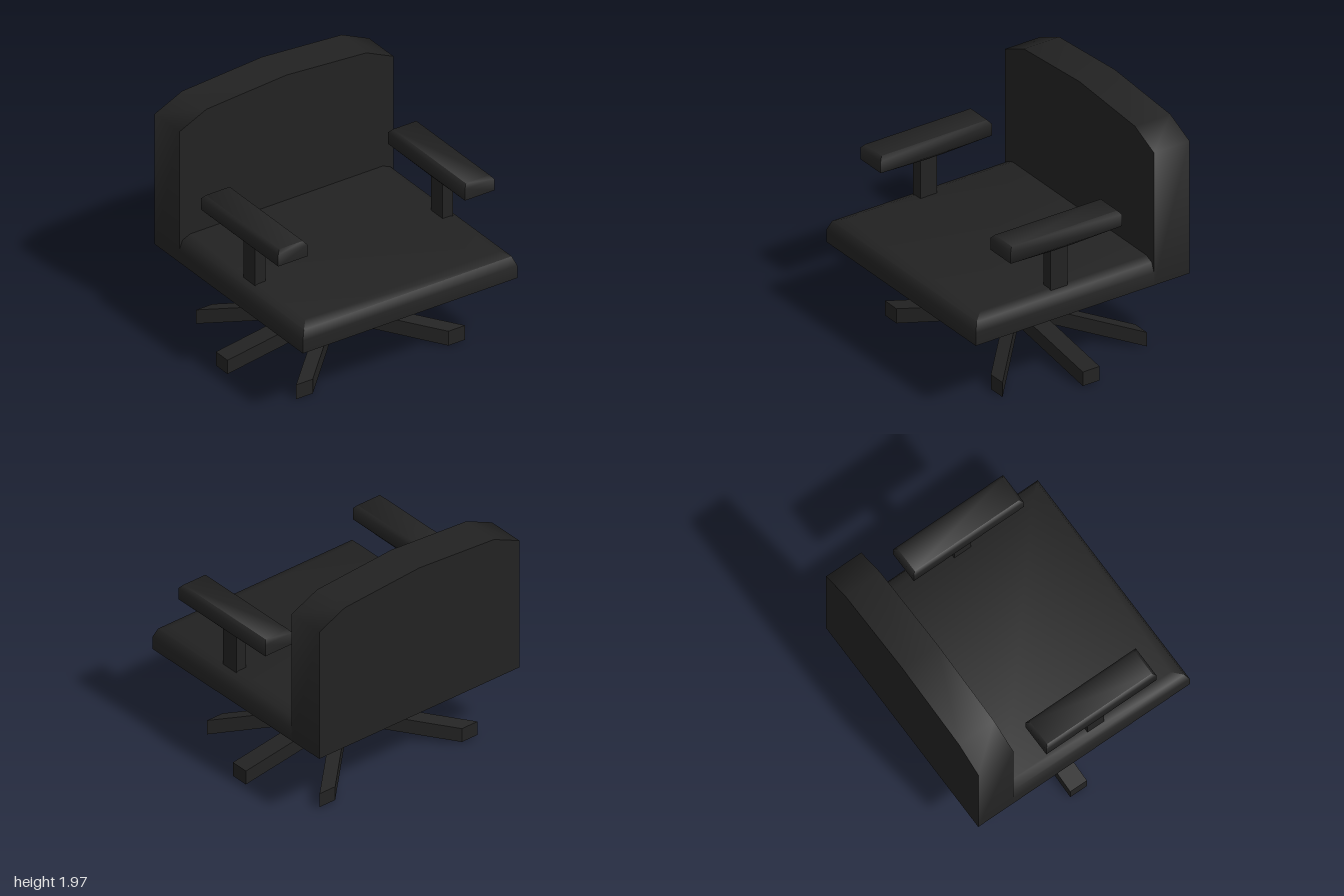
import * as THREE from 'three';
import { toCreasedNormals } from 'three/addons/utils/BufferGeometryUtils.js';

// Skin between four-cornered cross-sections, capped at both ends, facing outward
function loft(rings, crease) {
  const pts = rings.flat().map((p) => new THREE.Vector3(...p));
  const n = rings.length;
  const tris = [];
  const quad = (a, b, c, d) => tris.push([a, b, c], [a, c, d]);
  for (let r = 0; r < n - 1; r++) {
    for (let i = 0; i < 4; i++) {
      const j = (i + 1) % 4, a = r * 4, b = a + 4;
      quad(a + i, a + j, b + j, b + i);
    }
  }
  quad(3, 2, 1, 0);
  const e = (n - 1) * 4;
  quad(e, e + 1, e + 2, e + 3);
  let volume = 0;
  for (const [a, b, c] of tris) volume += pts[a].dot(pts[b].clone().cross(pts[c]));
  if (volume < 0) tris.forEach((t) => t.reverse());
  const geo = new THREE.BufferGeometry().setFromPoints(pts);
  geo.setIndex(tris.flat());
  return toCreasedNormals(geo, crease);
}

// Horizontal rectangle at height y
const slab = (x0, x1, z0, z1, y) => [[x0, y, z0], [x1, y, z0], [x1, y, z1], [x0, y, z1]];
// Upright rectangle facing z or facing x
const faceZ = (x0, x1, y0, y1, z) => [[x0, y0, z], [x1, y0, z], [x1, y1, z], [x0, y1, z]];
const faceX = (z0, z1, y0, y1, x) => [[x, y0, z0], [x, y0, z1], [x, y1, z1], [x, y1, z0]];

export function createModel() {
  const chair = new THREE.Group();
  chair.name = 'officeChair';
  const black = new THREE.MeshStandardMaterial({ color: 0x222222 });
  black.name = 'black';
  const add = (name, geo) => {
    const mesh = new THREE.Mesh(geo, black);
    mesh.name = name;
    chair.add(mesh);
    return mesh;
  };

  // Seat cushion with softened front and side edges
  add('seat', loft([
    slab(-0.98, 0.98, -0.66, 0.98, 0.66),
    slab(-0.98, 0.98, -0.66, 0.98, 0.77),
    slab(-0.95, 0.95, -0.66, 0.95, 0.845),
    slab(-0.88, 0.88, -0.66, 0.87, 0.875),
  ], 0.95));

  // Backrest with a shallow arched top
  const outline = new THREE.Shape([
    [-0.98, 0.66], [0.98, 0.66], [0.98, 1.8], [0.73, 1.915],
    [0, 1.967], [-0.73, 1.915], [-0.98, 1.8],
  ].map(([x, y]) => new THREE.Vector2(x, y)));
  const back = new THREE.ExtrudeGeometry(outline, { depth: 0.325, bevelEnabled: false });
  back.translate(0, 0, -0.98);
  add('backrest', toCreasedNormals(back, 1.2));

  // Central column
  const column = add('column', new THREE.BoxGeometry(0.3, 0.515, 0.155));
  column.position.set(0, 0.4025, -0.065);

  for (const s of [-1, 1]) {
    const side = s > 0 ? 'left' : 'right';

    // Armrest pad and post
    add(side + 'ArmPad', loft([
      slab(s * 0.75, s * 0.955, 0.08, 0.24, 1.235),
      slab(s * 0.72, s * 0.988, -0.355, 0.665, 1.27),
      slab(s * 0.72, s * 0.988, -0.355, 0.665, 1.37),
      slab(s * 0.745, s * 0.963, -0.33, 0.64, 1.4),
    ], 0.9));
    const post = add(side + 'ArmPost', new THREE.BoxGeometry(0.095, 0.4, 0.155));
    post.position.set(s * 0.857, 1.04, 0.162);

    // Three sloping base legs per side
    add(side + 'SideLeg', loft([
      faceX(-0.142, 0.012, 0.145, 0.265, s * 0.15),
      faceX(-0.142, 0.012, 0.015, 0.135, s),
    ], 0.5));
    add(side + 'FrontLeg', loft([
      faceZ(0, s * 0.15, 0.145, 0.265, 0.012),
      faceZ(s * 0.62, s * 0.773, 0, 0.125, 0.59),
    ], 0.5));
    add(side + 'BackLeg', loft([
      faceZ(0, s * 0.15, 0.145, 0.265, -0.142),
      faceZ(s * 0.62, s * 0.773, 0.015, 0.135, -0.735),
    ], 0.5));
  }
  return chair;
}
